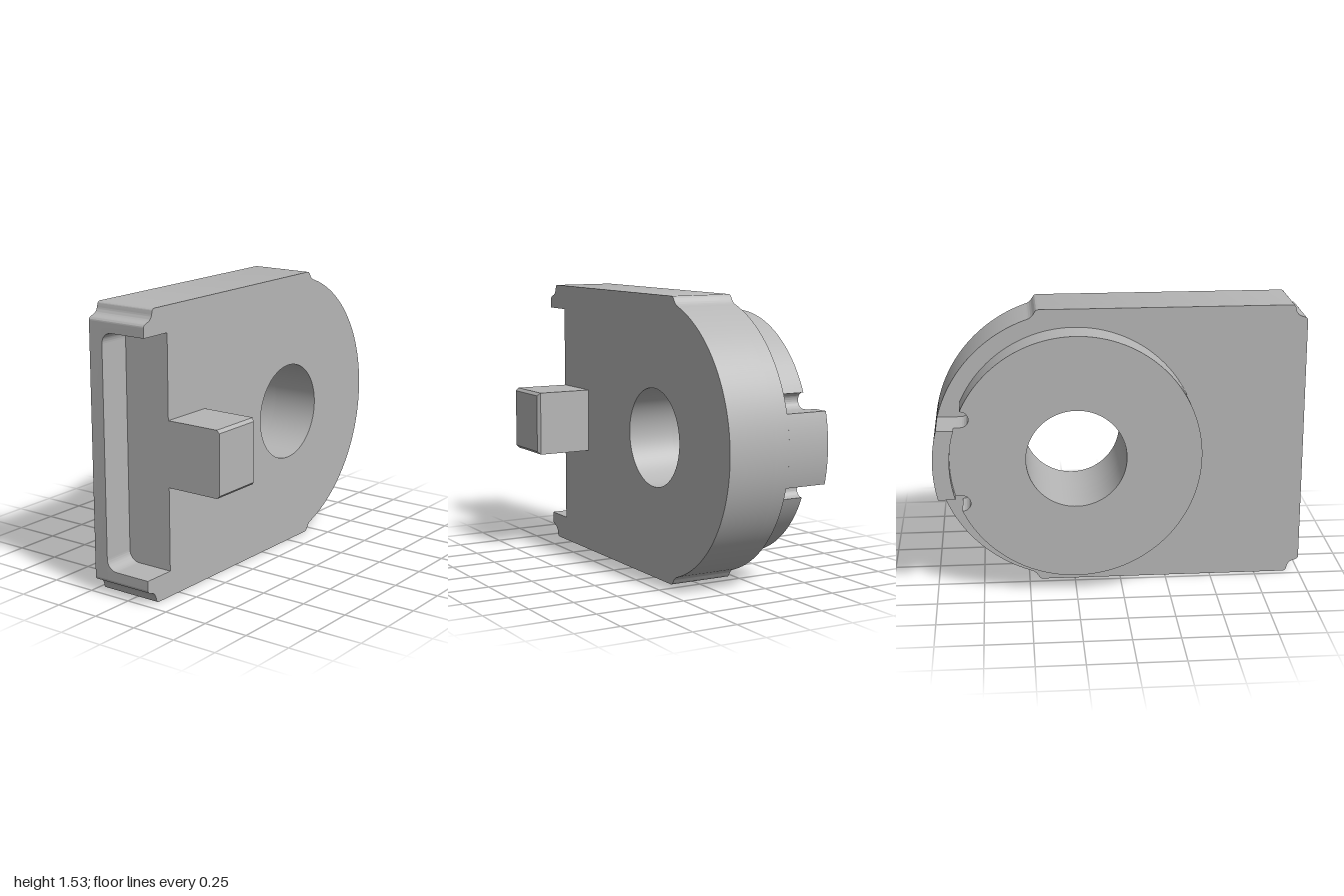
import * as THREE from 'three';
import { toCreasedNormals } from 'three/addons/utils/BufferGeometryUtils.js';

const CX = 0.245, CY = 0.765;          // axis of bore and boss
const R = 0.755, BOSS_R = 0.667, BORE_R = 0.267;
const BACK = -0.217, FLOOR = -0.135, FRONT = 0.136;
const HALF_PI = Math.PI / 2;

const steel = new THREE.MeshStandardMaterial({ color: 0xb6b6b6 });
steel.name = 'light grey';

function extrude(shape, z0, z1) {
  const g = new THREE.ExtrudeGeometry(shape, { depth: z1 - z0, bevelEnabled: false, curveSegments: 64 });
  g.translate(0, 0, z0);
  return toCreasedNormals(g, 0.5);
}

function addPart(group, name, geometry) {
  const mesh = new THREE.Mesh(geometry, steel);
  mesh.name = name;
  group.add(mesh);
  return mesh;
}

function addBore(shape) {
  shape.holes.push(new THREE.Path().absarc(CX, CY, BORE_R, 0, Math.PI * 2, true));
}

// Plate outline, mirrored about the bore axis; optionally with the left edge cut back
function plateShape(recessed) {
  const upper = new THREE.Path();
  const a = Math.acos((0.49 - CX) / R);
  upper.absarc(CX, CY, R, 0, a, false);
  upper.bezierCurveTo(0.45, 1.492, 0.455, 1.527, 0.43, 1.53);
  upper.lineTo(-0.915, 1.53);
  upper.bezierCurveTo(-0.945, 1.527, -0.925, 1.505, -0.95, 1.478);
  upper.bezierCurveTo(-0.967, 1.461, -1, 1.467, -1, 1.443);
  if (recessed) {
    upper.lineTo(-1, 1.392);
    upper.lineTo(-0.82, 1.392);
  }
  const top = upper.getPoints(40);
  const bottom = top.slice(1).reverse().map(p => new THREE.Vector2(p.x, 2 * CY - p.y));
  const shape = new THREE.Shape([...top, ...bottom]);
  addBore(shape);
  return shape;
}

// Round boss with two round-ended notches beside the tab
function bossShape() {
  const nr = 0.0425, ny = 0.2325, nx = 0.604;
  const a = Math.asin((ny + nr) / BOSS_R), b = Math.asin((ny - nr) / BOSS_R);
  const s = new THREE.Shape();
  s.absarc(CX, CY, BOSS_R, a, Math.PI * 2 - a, false);
  s.absarc(CX + nx, CY - ny, nr, -HALF_PI, HALF_PI, true);
  s.absarc(CX, CY, BOSS_R, -b, b, false);
  s.absarc(CX + nx, CY + ny, nr, -HALF_PI, HALF_PI, true);
  addBore(s);
  return s;
}

// Rim tab: ring sector with parallel flat ends
function tabShape() {
  const h = 0.19, o = Math.asin(h / R), i = Math.asin(h / BOSS_R);
  const s = new THREE.Shape();
  s.absarc(CX, CY, R, -o, o, false);
  s.absarc(CX, CY, BOSS_R, i, -i, true);
  return s;
}

// Concave fillet between the recess floor and its end wall
function filletGeometry(r) {
  const s = new THREE.Shape();
  s.moveTo(0, 0);
  s.lineTo(r, 0);
  s.absarc(r, r, r, -HALF_PI, -Math.PI, true);
  s.lineTo(0, 0);
  const g = new THREE.ExtrudeGeometry(s, { depth: 0.18, bevelEnabled: false, curveSegments: 12 });
  return toCreasedNormals(g, 0.5);
}

// Square peg, chamfered at its front on three sides
function pegGeometry() {
  const x0 = -0.82, x1 = -0.518, y0 = 0.588, y1 = 0.942, z0 = FRONT - 0.01, z1 = 0.457, c = 0.016;
  const box = new THREE.BoxGeometry(1, 1, 1, 1, 1, 2);
  const p = box.attributes.position;
  for (let i = 0; i < p.count; i++) {
    const z = p.getZ(i), inset = z > 0.4 ? c : 0;
    p.setXYZ(i,
      p.getX(i) > 0 ? x1 - inset : x0,
      p.getY(i) > 0 ? y1 - inset : y0 + inset,
      z > 0.4 ? z1 : z < -0.4 ? z0 : z1 - c);
  }
  const g = box.toNonIndexed();
  g.computeVertexNormals();
  return g;
}

export function createModel() {
  const model = new THREE.Group();
  model.name = 'bearingPlate';

  addPart(model, 'plateBackWall', extrude(plateShape(false), BACK, FLOOR));
  addPart(model, 'plateBody', extrude(plateShape(true), FLOOR, FRONT));
  addPart(model, 'boss', extrude(bossShape(), -0.403, BACK));
  addPart(model, 'rimTab', extrude(tabShape(), -0.457, BACK));
  addPart(model, 'peg', pegGeometry());

  // Recess fillets: profile x runs along z, profile y along the plate height
  const lower = addPart(model, 'recessFilletLower', filletGeometry(0.06));
  lower.rotation.y = -HALF_PI;
  lower.position.set(-0.82, 2 * CY - 1.392, FLOOR);
  const upper = addPart(model, 'recessFilletUpper', filletGeometry(0.06));
  upper.rotation.set(Math.PI, HALF_PI, 0, 'YXZ');
  upper.rotation.set(0, 0, 0, 'XYZ');
  // axes: profile x -> -y, profile y -> +z, depth -> -x
  upper.quaternion.setFromRotationMatrix(new THREE.Matrix4().makeBasis(
    new THREE.Vector3(0, -1, 0), new THREE.Vector3(0, 0, 1), new THREE.Vector3(-1, 0, 0)));
  upper.position.set(-0.82, 1.392, FLOOR);

  return model;
}
